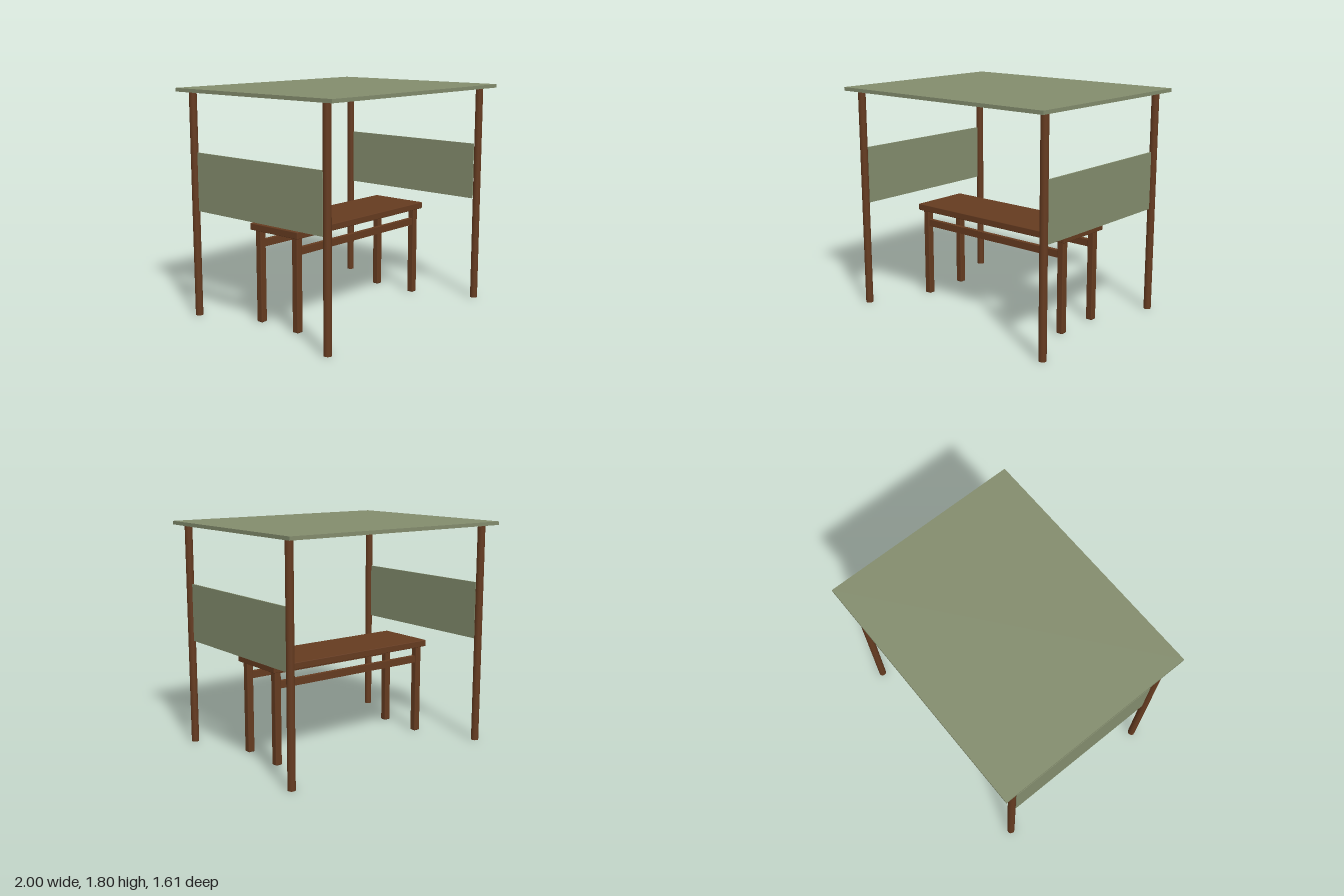
import * as THREE from 'three';
import { RoundedBoxGeometry } from 'three/addons/geometries/RoundedBoxGeometry.js';

export function createModel() {
  const model = new THREE.Group();
  model.name = 'marketStall';

  const canvas = new THREE.MeshStandardMaterial({ color: 0x838c6d });
  canvas.name = 'sage green canvas';
  const wood = new THREE.MeshStandardMaterial({ color: 0x653b20 });
  wood.name = 'brown wood';

  function add(parent, name, geometry, material, x, y, z) {
    const mesh = new THREE.Mesh(geometry, material);
    mesh.name = name;
    mesh.position.set(x, y, z);
    parent.add(mesh);
  }

  // Shelter: flat roof, four round posts, two side panels
  const shelter = new THREE.Group();
  shelter.name = 'shelter';
  model.add(shelter);
  const roofBottom = 1.775;
  add(shelter, 'roof', new THREE.BoxGeometry(2, 0.028, 1.61), canvas, 0, roofBottom + 0.014, 0);

  const post = new THREE.CylinderGeometry(0.03, 0.03, roofBottom, 16);
  const panel = new THREE.BoxGeometry(0.012, 0.46, 1.304);
  for (const sx of [-1, 1]) {
    for (const sz of [-1, 1]) add(shelter, 'post', post, wood, sx * 0.925, roofBottom / 2, sz * 0.692);
    add(shelter, 'sidePanel', panel, canvas, sx * 0.925, 1.08, 0);
  }

  // Table: slab top, four softened legs, front and back rails
  const table = new THREE.Group();
  table.name = 'table';
  model.add(table);
  const topBottom = 0.735;
  add(table, 'tableTop', new RoundedBoxGeometry(1.534, 0.053, 0.5, 2, 0.005), wood, 0, topBottom + 0.0265, 0);

  const leg = new RoundedBoxGeometry(0.056, topBottom, 0.056, 2, 0.008);
  const rail = new THREE.BoxGeometry(1.37, 0.056, 0.035);
  for (const sz of [-1, 1]) {
    for (const sx of [-1, 1]) add(table, 'leg', leg, wood, sx * 0.711, topBottom / 2, sz * 0.193);
    add(table, 'rail', rail, wood, 0, 0.627, sz * 0.193);
  }

  return model;
}
